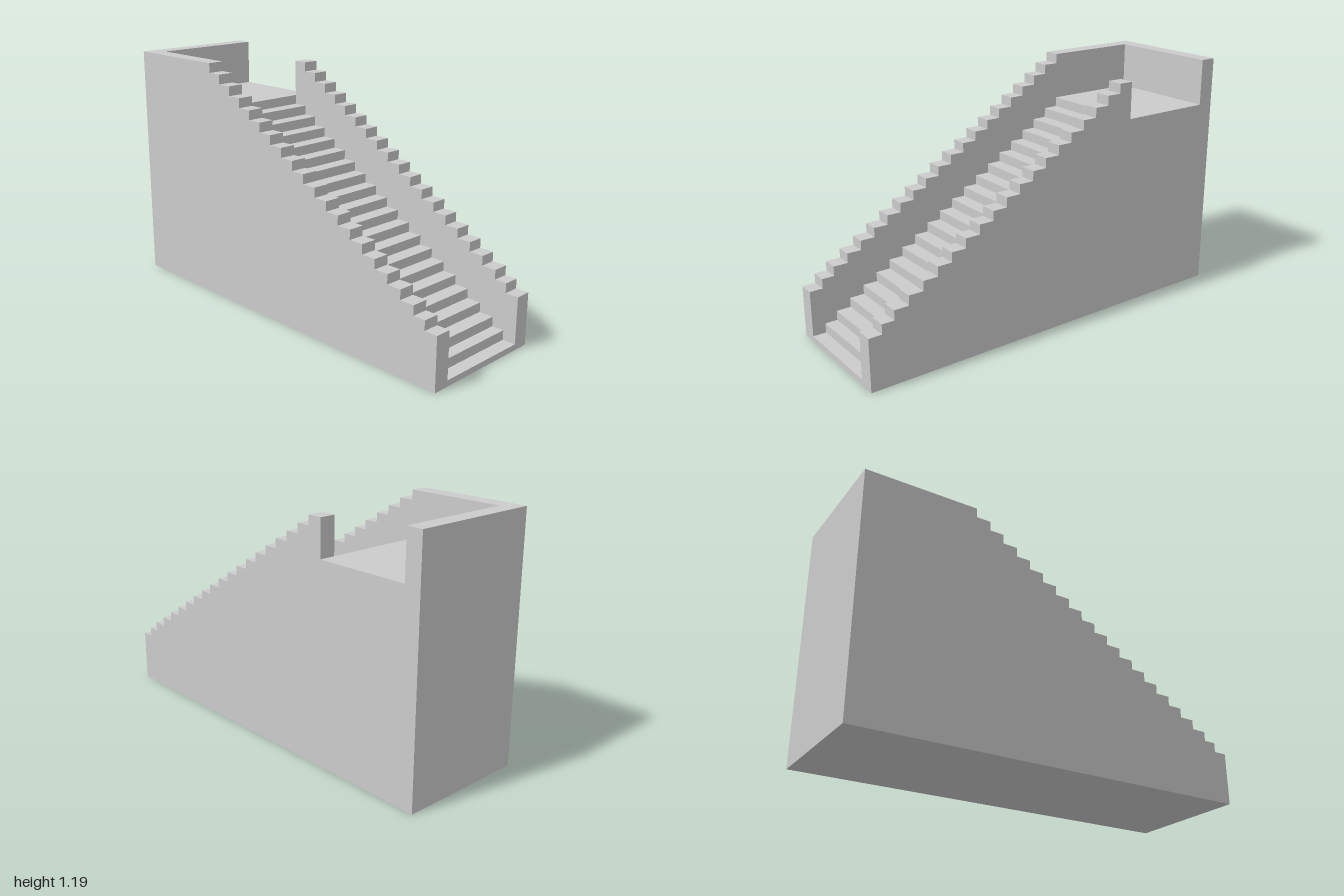
import * as THREE from 'three';

const STEPS = 20, RISE = 0.0467;
const LEFT = -1, INNER = -0.92, STAIR = -0.44, RIGHT = 1;
const OUTER_Z = 0.32, INNER_Z = 0.24;

// x of each riser: even pitch, with the two lowest treads slightly shorter
const riserX = (i) => (i < 19 ? STAIR + i * 0.073 : i === 19 ? 0.935 : RIGHT);

// Side profile: flat top from x0 to the stair head, then descending steps
function steppedProfile(x0, flatY, firstY) {
  const s = new THREE.Shape();
  s.moveTo(x0, 0);
  s.lineTo(RIGHT, 0);
  for (let i = STEPS - 1; i >= 0; i--) {
    const y = firstY - i * RISE;
    s.lineTo(riserX(i + 1), y);
    s.lineTo(riserX(i), y);
  }
  s.lineTo(STAIR, flatY);
  s.lineTo(x0, flatY);
  s.closePath();
  return s;
}

export function createModel() {
  const group = new THREE.Group();
  const material = new THREE.MeshStandardMaterial({ color: 0xcccccc, flatShading: true });

  const addSlab = (name, shape, z0, z1) => {
    const geo = new THREE.ExtrudeGeometry(shape, { depth: z1 - z0, bevelEnabled: false });
    geo.translate(0, 0, z0);
    const mesh = new THREE.Mesh(geo, material);
    mesh.name = name;
    group.add(mesh);
  };

  const landingY = 0.963, wallTop = 1.19, wallStep = 1.143;

  // Treads and landing between the walls
  addSlab('stairsAndLanding', steppedProfile(INNER, landingY, landingY - RISE), -INNER_Z, INNER_Z);
  // Full-length parapet wall
  addSlab('frontWall', steppedProfile(LEFT, wallTop, wallStep), INNER_Z, OUTER_Z);
  // Rear parapet, open beside the landing
  addSlab('backWall', steppedProfile(INNER, landingY, wallStep), -OUTER_Z, -INNER_Z);

  // Wall closing the high end
  const depth = OUTER_Z + INNER_Z;
  const endWall = new THREE.Mesh(new THREE.BoxGeometry(INNER - LEFT, wallTop, depth), material);
  endWall.name = 'endWall';
  endWall.position.set((LEFT + INNER) / 2, wallTop / 2, (INNER_Z - OUTER_Z) / 2);
  group.add(endWall);

  return group;
}
